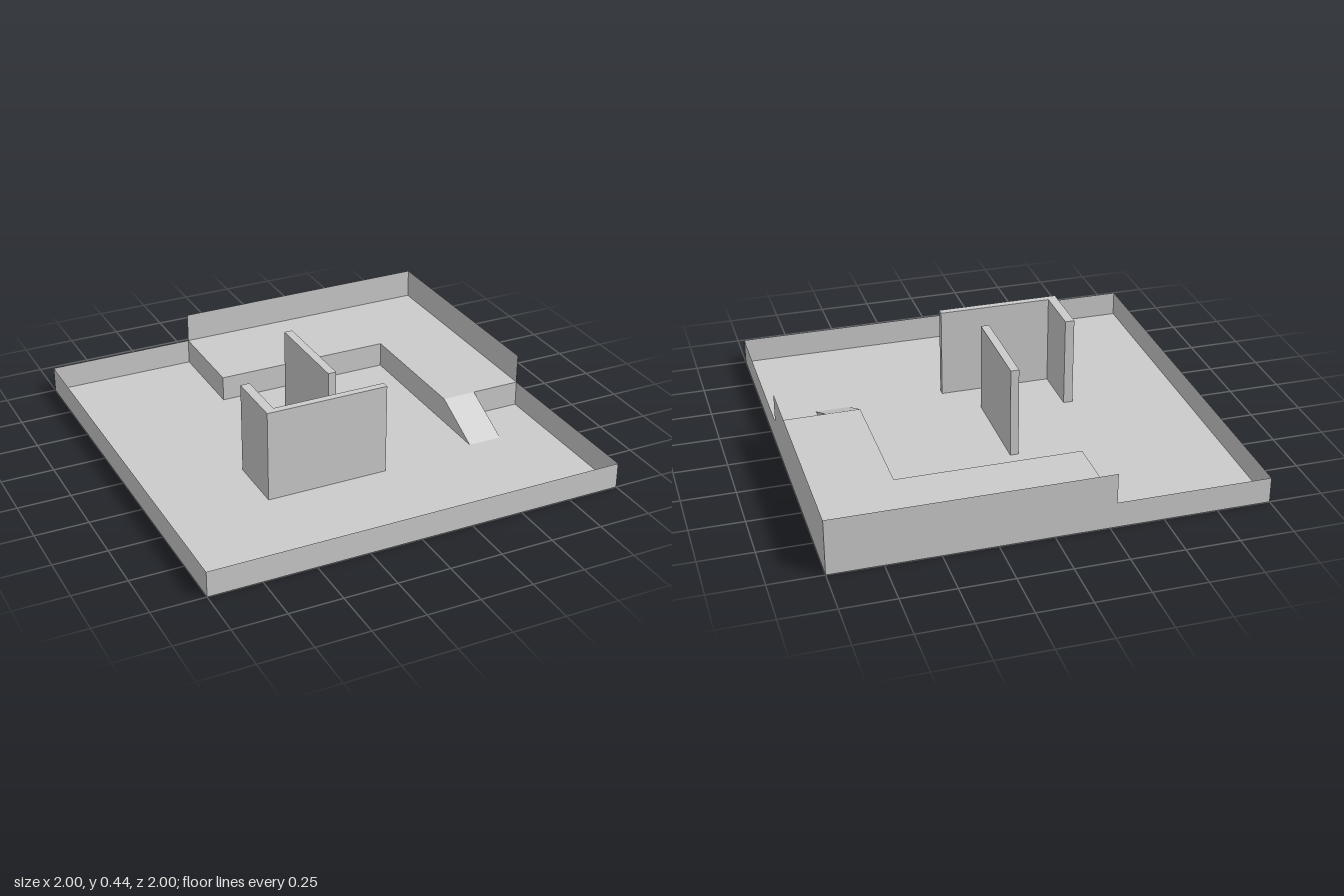
import * as THREE from 'three';

const LOW = 0.123, HIGH = 0.267, TALL = 0.44; // rim / platform, raised rim, partitions

const material = new THREE.MeshStandardMaterial({ color: 0xcccccc, side: THREE.DoubleSide, flatShading: true });

// Horizontal sheet from an [x, z] outline
function sheet(outline, y, holes = []) {
  const to2D = (pts) => pts.map(([x, z]) => new THREE.Vector2(x, -z));
  const shape = new THREE.Shape(to2D(outline));
  for (const h of holes) shape.holes.push(new THREE.Path(to2D(h)));
  return new THREE.ShapeGeometry(shape).rotateX(-Math.PI / 2).translate(0, y, 0);
}

// Polygon fan from corner points
function polygon(...corners) {
  const geometry = new THREE.BufferGeometry();
  const index = [];
  for (let i = 1; i < corners.length - 1; i++) index.push(0, i, i + 1);
  geometry.setAttribute('position', new THREE.Float32BufferAttribute(corners.flat(), 3));
  geometry.setIndex(index);
  const flat = geometry.toNonIndexed();
  flat.computeVertexNormals();
  return flat;
}

export function createModel() {
  const group = new THREE.Group();
  const add = (name, geometry, parent = group) => {
    const mesh = new THREE.Mesh(geometry, material);
    mesh.name = name;
    parent.add(mesh);
  };

  // Thin upright panels following an [x, z] path
  const panels = (name, path, y0, y1, parent = group) => {
    for (let i = 0; i < path.length - 1; i++) {
      const [ax, az] = path[i], [bx, bz] = path[i + 1];
      add(name, polygon([ax, y0, az], [bx, y0, bz], [bx, y1, bz], [ax, y1, az]), parent);
    }
  };

  // Key plan lines
  const px = -0.28, pz = -0.54, sx = 0.595, sz = 0.125; // platform
  const rx = 0.76, rz = 0.38; // ramp
  const partitions = {
    cornerPartition: [[-0.465, 0.125], [-0.465, 0.42], [0.125, 0.42], [0.125, 0.385], [-0.42, 0.385], [-0.42, 0.125]],
    straightPartition: [[-0.06, -0.285], [-0.06, 0.195], [-0.02, 0.195], [-0.02, -0.285]],
  };

  // Floor, open beneath the platform, ramp and partitions
  add('floor', sheet([
    [-1, -1], [-1, 1], [1, 1], [1, sz], [rx, sz], [rx, rz], [sx, rz], [sx, pz], [px, pz], [px, -1],
  ], 0, Object.values(partitions)));

  // L-shaped platform and its step faces
  add('platform', sheet([[px, -1], [px, pz], [sx, pz], [sx, sz], [1, sz], [1, -1]], LOW));
  panels('platformStep', [[px, -1], [px, pz], [sx, pz], [sx, sz]], 0, LOW);
  panels('platformStep', [[rx, sz], [1, sz]], 0, LOW);

  // Ramp with triangular cheeks
  add('ramp', polygon([sx, LOW, sz], [sx, 0, rz], [rx, 0, rz], [rx, LOW, sz]));
  for (const x of [sx, rx]) add('rampSide', polygon([x, 0, sz], [x, 0, rz], [x, LOW, sz]));

  // Outer rim, higher around the platform
  panels('outerWall', [[px, -1], [-1, -1], [-1, 1], [1, 1], [1, sz]], 0, LOW);
  panels('raisedOuterWall', [[1, sz], [1, -1], [px, -1]], 0, HIGH);

  // Hollow partitions, capped on top
  for (const [name, outline] of Object.entries(partitions)) {
    const partition = new THREE.Group();
    partition.name = name;
    panels('partitionSide', [...outline, outline[0]], 0, TALL, partition);
    add('partitionTop', sheet(outline, TALL), partition);
    group.add(partition);
  }

  return group;
}
